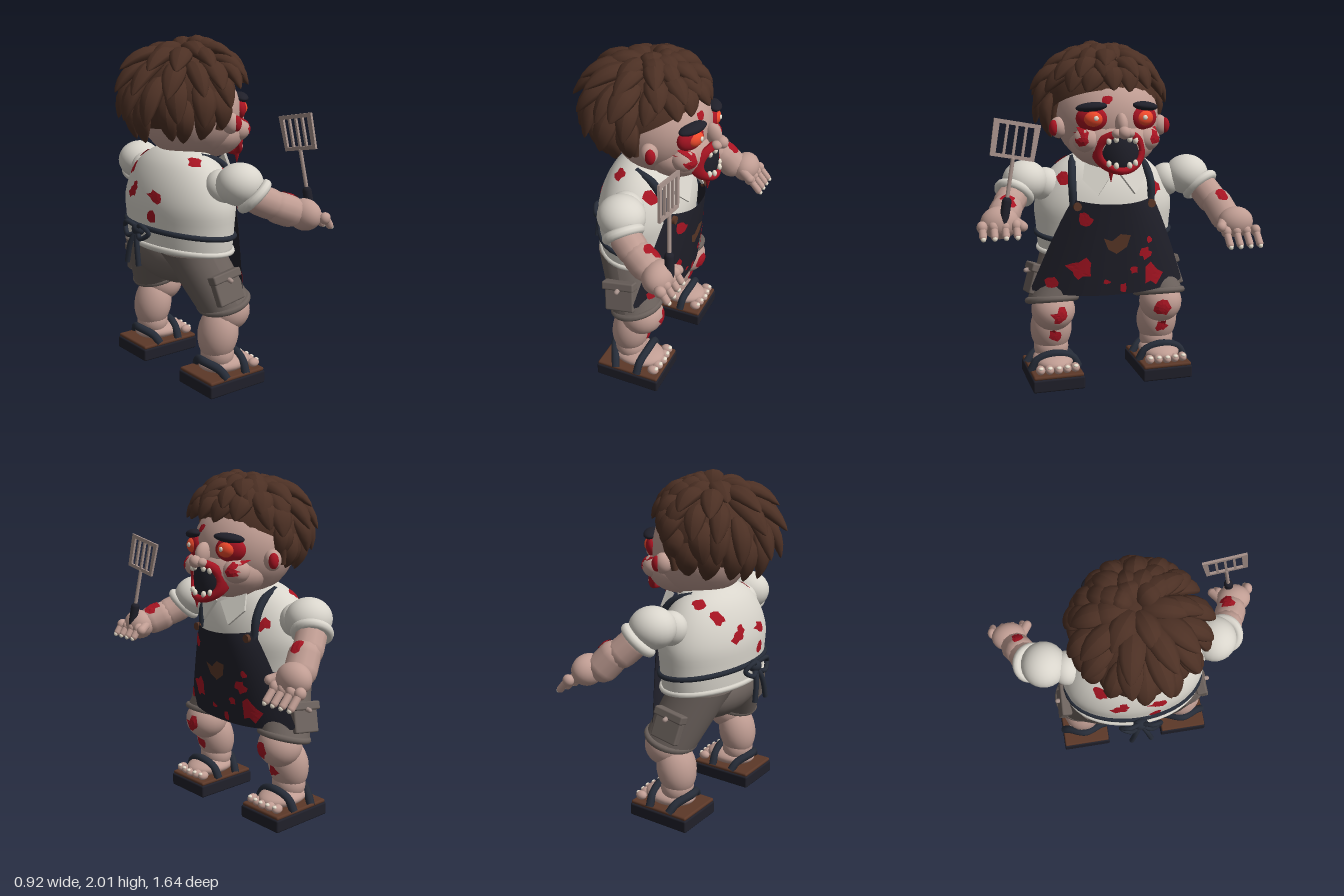
import * as THREE from 'three';
import { RoundedBoxGeometry } from 'three/addons/geometries/RoundedBoxGeometry.js';

const C = { skin: 0xc09d93, hair: 0x4c3024, shirt: 0xd9d5cc, shorts: 0x6c625d, dark: 0x20202a, red: 0xa81422,
  glow: 0xf04a2c, tooth: 0xe6ddcc, sole: 0x5c3828, metal: 0xa8938c, strap: 0x262c38 };
const mats = {};
const mat = c => mats[c] ??= new THREE.MeshStandardMaterial({ color: C[c], side: THREE.DoubleSide, roughness: 0.8 });
const V = (x, y, z) => new THREE.Vector3(x, y, z);
const UP = V(0, 1, 0);
const { lerp, smoothstep } = THREE.MathUtils;
const vec2s = list => list.map(q => new THREE.Vector2(...q));
let seed = 7;
const rnd = () => (seed = (seed * 16807) % 2147483647) / 2147483647;

function add(parent, name, geo, color, p = [0, 0, 0], r = [0, 0, 0]) {
  const m = new THREE.Mesh(geo, mat(color));
  m.name = name;
  m.position.set(...p);
  m.rotation.set(...r);
  parent.add(m);
  return m;
}
const blob = (parent, name, color, p, s, r) => add(parent, name, new THREE.SphereGeometry(1, 24, 16).scale(...s), color, p, r);
const box = (parent, name, color, p, s, r) => add(parent, name, new RoundedBoxGeometry(...s, 2, .01), color, p, r);
const tube = (parent, name, color, pts, rad, closed = false) => add(parent, name,
  new THREE.TubeGeometry(new THREE.CatmullRomCurve3(pts.map(p => V(...p)), closed), 40, rad, 8, closed), color);
// rounded segment between two points
function limb(parent, name, color, a, b, rad) {
  const A = V(...a), B = V(...b), d = B.clone().sub(A);
  const m = add(parent, name, new THREE.CapsuleGeometry(rad, d.length(), 5, 12), color, A.clone().add(B).multiplyScalar(0.5).toArray());
  m.quaternion.setFromUnitVectors(UP, d.normalize());
  return m;
}
function warp(geo, rule) {
  const p = geo.attributes.position, v = V(0, 0, 0);
  for (let i = 0; i < p.count; i++) { rule(v.fromBufferAttribute(p, i)); p.setXYZ(i, v.x, v.y, v.z); }
  geo.computeVertexNormals();
  return geo;
}

// leaf-shaped lock of hair: unit length, bowed outward
const lockGeo = warp(new THREE.LatheGeometry(vec2s([[0, 0], [.3, .08], [.46, .26], [.5, .45], [.46, .62], [.34, .79], [.15, .94], [0, 1]]), 10),
  v => { v.z = v.z * 0.6 + 1.1 * v.y * (1 - v.y); });

function buildHair(parent) {
  const hair = new THREE.Group();
  hair.name = 'hair';
  parent.add(hair);
  const c = V(-.04, 1.67, .015);
  const at = (t, f, k) => V(.3 * k * Math.sin(t) * Math.cos(f), .28 * k * Math.cos(t), .31 * k * Math.sin(t) * Math.sin(f)).add(c);
  add(hair, 'hairCap', new THREE.SphereGeometry(1, 32, 16, 0, 7, 0, 1.72).scale(.29, .28, .315), 'hair', [-.03, 1.66, .01], [0, 0, .45]);
  // rows from crown to nape: count, tip angle, tip reach at the back and at the front
  [[7, .36, 1.2, 1.1], [10, .5, 1.4, 1.18], [13, .66, 1.42, 1.22], [15, .83, 1.36, 1.22], [17, 1, 1.26, 1.2]].forEach(([n, a, kBack, kFront], row) => {
    for (let i = 0; i < n; i++) {
      const f = (i + row * 0.5 + (rnd() - .5) * .4) / n * Math.PI * 2, back = (1 - Math.cos(f)) / 2;
      const end = 1.36 + .92 * smoothstep(back, .18, .62);
      const t1 = end * a + (rnd() - .5) * .08, t0 = Math.max(.06, t1 - (.58 + back * .28));
      const tip = lerp(kFront, kBack, back) + (rnd() - .5) * .08 - .12 * Math.max(0, -Math.sin(f));
      const base = at(t0, f, .92), d = at(t1, f + (rnd() - .4) * .3, tip).sub(base), len = d.length();
      const dir = d.normalize(), out = at(t0 + .25, f, 1).sub(c);
      const side = dir.clone().cross(out).normalize(), nor = side.clone().cross(dir);
      const m = add(hair, 'hairLock', lockGeo, 'hair', base.toArray());
      m.quaternion.setFromRotationMatrix(new THREE.Matrix4().makeBasis(side, dir, nor));
      m.scale.set(.115 + rnd() * .03, len * 1.03, .13);
    }
  });
}

function buildHead(body) {
  const head = new THREE.Group();
  head.name = 'head';
  body.add(head);
  blob(head, 'skull', 'skin', [.02, 1.58, 0], [.29, .28, .3]);
  blob(head, 'jaw', 'skin', [.14, 1.45, 0], [.2, .155, .25]);
  for (const s of [1, -1]) {
    blob(head, 'ear', 'skin', [.08, 1.53, s * .3], [.05, .06, .05]);
    blob(head, 'earInner', 'red', [.1, 1.53, s * .33], [.03, .045, .027]);
    blob(head, 'cheek', 'skin', [.23, 1.47, s * .17], [.08, .07, .08]);
    blob(head, 'eyeSocket', 'red', [.255, 1.59, s * .15], [.045, .07, .09], [0, -s * .45, 0]);
    blob(head, 'eye', 'glow', [.28, 1.59, s * .145], [.038, .045, .056], [0, -s * .3, 0]);
    blob(head, 'pupil', 'tooth', [.318, 1.595, s * .14], [.008, .014, .014]);
    blob(head, 'eyebrow', 'dark', [.27, 1.655, s * .155], [.045, .026, .09], [s * .12, -s * .5, 0]);
    blob(head, 'nostril', 'skin', [.365, 1.515, s * .035], [.03, .026, .03]);
    tube(head, 'sideburn', 'hair', [[.02, 1.68, s * .3], [.01, 1.6, s * .31], [0, 1.5, s * .295]], .02);
  }
  blob(head, 'noseBridge', 'skin', [.33, 1.56, 0], [.05, .065, .035], [0, 0, .3]);
  blob(head, 'noseTip', 'skin', [.385, 1.52, 0], [.035, .035, .035]);
  // open mouth wrapped around the jaw
  const wrap = v => { v.x -= v.z * v.z * 3.5; };
  add(head, 'lips', warp(new THREE.TorusGeometry(.13, .026, 10, 40).rotateY(Math.PI / 2).scale(1, .8, 1), wrap), 'red', [.35, 1.41, 0]);
  add(head, 'mouthHole', warp(new THREE.SphereGeometry(1, 24, 16).scale(.02, .095, .122), wrap), 'dark', [.342, 1.41, 0]);
  for (const up of [1, -1]) for (const i of [-2, -1, 1, 2]) {
    const z = i * .038;
    blob(head, 'tooth', 'tooth', [.365 - z * z * 3.5, 1.41 + up * (.083 - Math.abs(i) * .01), z], [.014, .02, .015]);
  }
  add(head, 'bloodDrip', new THREE.ConeGeometry(.02, .08, 8), 'red', [.33, 1.28, .06], [Math.PI, 0, 0]);
  buildHair(head);
}

function buildTorso(body) {
  const prof = [[.3, .78], [.385, .8], [.4, .84], [.41, .95], [.418, 1.06], [.39, 1.16], [.335, 1.25], [.26, 1.32], [.15, 1.37], [0, 1.39]];
  add(body, 'shirt', new THREE.LatheGeometry(new THREE.SplineCurve(vec2s(prof)).getPoints(30), 40).scale(.63, 1, 1), 'shirt', [-.06, 0, 0]);
  add(body, 'shirtHem', new THREE.TorusGeometry(.395, .016, 8, 40).rotateX(Math.PI / 2).scale(.65, 1, 1), 'shirt', [-.06, .805, 0], [0, 0, -.08]);
  for (const s of [1, -1]) { // collar flaps
    const flap = new THREE.Shape(vec2s([[0, 0], [.16, .06], [.17, -.04], [.08, -.13]]));
    const g = new THREE.ExtrudeGeometry(flap, { depth: .015, bevelEnabled: false }).rotateY(-Math.PI / 2).scale(1, 1, s);
    add(body, 'collarFlap', g, 'shirt', [.225, 1.28, s * .02], [0, -s * .3, .35]);
  }
  // apron: flared, curved sheet leaning out at the chest
  const apron = warp(new THREE.PlaneGeometry(2, 1, 24, 16), v => {
    const u = v.x, t = v.y + .5, w = .235 + .235 * Math.pow(1 - t, .85);
    v.set(.195 + t * .075 - lerp(.15, .11, t) * Math.abs(u) ** 2.6, .555 + t * .57 + .025 * (1 - t) * u * u - .02 * t * (1 - u * u), -u * w);
  });
  add(body, 'apron', apron, 'dark');
  const ring = Array.from({ length: 24 }, (_, i) => {
    const a = i / 24 * Math.PI * 2;
    return [-.06 + Math.cos(a) * .26, .9 - .03 * Math.cos(a), Math.sin(a) * .408];
  });
  tube(body, 'apronTie', 'strap', ring, .016, true);
  blob(body, 'tieKnot', 'strap', [-.35, .92, 0], [.035, .035, .045]);
  for (const s of [1, -1]) {
    tube(body, 'tieTail', 'strap', [[-.35, .92, 0], [-.38, .85, s * .03], [-.39, .72, s * .06]], .016);
    tube(body, 'tieBow', 'strap', [[-.35, .92, 0], [-.38, .96, s * .07], [-.36, .92, s * .12], [-.38, .88, s * .06]], .014, true);
    tube(body, 'neckStrap', 'strap', [[.15, 1.08, s * .23], [.14, 1.2, s * .235], [.07, 1.295, s * .22], [-.05, 1.335, s * .19]], .024);
    add(body, 'strapButton', new THREE.CylinderGeometry(.024, .024, .02, 12).rotateZ(Math.PI / 2), 'sole', [.2, 1.09, s * .22]);
  }
  // scorched patch in the middle of the apron
  const patch = new THREE.Shape(vec2s([[-.08, .04], [-.03, .02], [.02, .06], [.08, .05], [.06, -.02], [0, -.06], [-.05, -.03]]));
  add(body, 'apronPatch', new THREE.ShapeGeometry(patch).rotateY(Math.PI / 2), 'sole', [.246, .87, 0], [0, 0, -.13]);
}

function buildLeg(body, s) {
  const leg = new THREE.Group();
  leg.name = s > 0 ? 'rightLeg' : 'leftLeg';
  body.add(leg);
  const z = s * .335;
  add(leg, 'shortsLeg', warp(new THREE.CylinderGeometry(1, 1, 1, 28, 6, true), v => {
    const t = v.y + .5, r = lerp(.148, .19, t);
    v.set(lerp(.01, -.1, t) + v.x * r, lerp(.5, .8, t) + v.x * .045 * (1 - t), s * lerp(.335, .18, t) + v.z * r);
  }), 'shorts');
  add(leg, 'shortsHem', new THREE.TorusGeometry(.142, .02, 8, 28).rotateX(Math.PI / 2), 'shorts', [.012, .505, z], [0, 0, .28]);
  box(leg, 'pocket', 'shorts', [-.045, .62, s * .437], [.18, .17, .05], [-s * .3, 0, .15]);
  box(leg, 'pocketFlap', 'shorts', [-.055, .69, s * .428], [.2, .05, .065], [-s * .3, 0, .15]);
  limb(leg, 'pocketButton', 'metal', [-.05, .68, s * .44], [-.05, .675, s * .478], .014);
  blob(leg, 'knee', 'skin', [.045, .45, z], [.13, .125, .13]);
  blob(leg, 'calf', 'skin', [-.025, .32, z], [.115, .17, .125], [0, 0, -.2]);
  blob(leg, 'ankle', 'skin', [-.03, .2, z], [.095, .1, .105]);
  blob(leg, 'foot', 'skin', [.02, .135, z], [.165, .055, .12]);
  for (let i = -2; i <= 2; i++) {
    const x = .175 - Math.abs(i) * .006;
    blob(leg, 'toe', 'skin', [x, .122, z + i * .052], [.035, .027, .027]);
    blob(leg, 'toenail', 'tooth', [x + .02, .137, z + i * .052], [.014, .01, .015]);
  }
  box(leg, 'sandalSole', 'dark', [.008, .038, z], [.405, .076, .31]);
  box(leg, 'sandalBed', 'sole', [.008, .085, z], [.395, .022, .3]);
  const strap = (x0, x1, h) => tube(leg, 'sandalStrap', 'strap',
    [[x0, .09, z - .145], [lerp(x0, x1, .3), h - .035, z - .105], [x1, h, z], [lerp(x0, x1, .3), h - .035, z + .105], [x0, .09, z + .145]], .025);
  strap(.07, .09, .19);
  strap(-.07, -.135, .17);
}

function buildArm(root, s) {
  const arm = new THREE.Group();
  arm.name = s > 0 ? 'rightArm' : 'leftArm';
  root.add(arm);
  const drop = s > 0 ? 0 : -.07;
  blob(arm, 'sleeve', 'shirt', [0, 1.22, s * .495], [.135, .12, .13]);
  blob(arm, 'shoulder', 'shirt', [-.03, 1.19, s * .37], [.1, .1, .09]);
  const cuff = add(arm, 'cuff', new THREE.TorusGeometry(.092, .028, 10, 28), 'shirt', [.045, 1.16, s * .565]);
  cuff.quaternion.setFromUnitVectors(V(0, 0, 1), V(.55, -.7, s * .45).normalize());
  limb(arm, 'elbow', 'skin', [.07, 1.14, s * .58], [.12, 1.115 + drop * .4, s * .61], .088);
  limb(arm, 'forearm', 'skin', [.17, 1.09 + drop * .4, s * .63], [.22, 1.07 + drop, s * .655], .09);
  blob(arm, 'hand', 'skin', [.305, 1.045 + drop, s * .69], [.085, .09, .105]);
  for (let i = 0; i < 4; i++) { // knuckle, finger, nail; the right hand curls round the handle
    const z = s * (.61 + i * .061), y = 1.02 + drop * 1.5, end = s > 0 ? [.4, y - .03, z] : [.425, y - .05, z];
    blob(arm, 'knuckle', 'skin', [.362, y + .015, z], [.034, .034, .029]);
    limb(arm, 'finger', 'skin', [.38, y, z], end, .021);
    blob(arm, 'fingernail', 'tooth', [end[0] + .014, end[1] - .01, z], [.012, .014, .014]);
  }
  limb(arm, 'thumb', 'skin', [.31, 1.05 + drop, s * .61], [.37, 1.03 + drop, s * .575], .028);
}

function buildSpatula(root) {
  const sp = new THREE.Group();
  sp.name = 'spatula';
  sp.position.set(.365, 1.04, .68);
  sp.rotation.set(-.18, 0, .09);
  root.add(sp);
  limb(sp, 'handle', 'dark', [0, .02, 0], [0, .13, 0], .026);
  limb(sp, 'shaft', 'metal', [0, .14, 0], [0, .36, 0], .011);
  const blade = new THREE.Shape(vec2s([[-.125, 0], [.115, 0], [.125, .2], [-.13, .2]]));
  for (let i = 0; i < 4; i++) {
    const x = -.097 + i * .051;
    blade.holes.push(new THREE.Path(vec2s([[x, .02], [x, .178], [x + .037, .178], [x + .037, .02]])));
  }
  add(sp, 'blade', new THREE.ExtrudeGeometry(blade, { depth: .014, bevelEnabled: false }).rotateY(Math.PI / 2), 'metal', [-.007, .36, 0]);
}

// ragged stain draped over the surface found along direction d
function stain(root, targets, p, d, rad) {
  const n = V(...d).normalize(), o = V(...p).addScaledVector(n, 1);
  const a = UP.clone().cross(n).normalize(), b = n.clone().cross(a);
  const hit = (r, t) => {
    const q = o.clone().addScaledVector(a, r * Math.cos(t)).addScaledVector(b, r * Math.sin(t));
    return new THREE.Raycaster(q, n.clone().negate()).intersectObjects(targets, false)[0]?.point.addScaledVector(n, .007);
  };
  const mid = hit(0, 0), pos = [], N = 11;
  if (!mid) return;
  const rs = Array.from({ length: N }, () => rad * (.55 + rnd() * .65));
  const [u, w] = [.5, 1].map(k => rs.map((r, i) => {
    const h = hit(r * k, i / N * Math.PI * 2);
    return h && h.distanceTo(mid) < rad * 2.2 ? h : mid;
  }));
  for (let i = 0; i < N; i++) {
    const j = (i + 1) % N;
    for (const v of [mid, u[i], u[j], u[i], w[i], w[j], u[i], w[j], u[j]]) pos.push(v.x, v.y, v.z);
  }
  const g = new THREE.BufferGeometry().setAttribute('position', new THREE.Float32BufferAttribute(pos, 3));
  g.computeVertexNormals();
  add(root, 'bloodStain', g, 'red');
}

export function createModel() {
  seed = 7;
  const root = new THREE.Group(), body = new THREE.Group();
  root.name = 'zombieCook';
  body.name = 'body';
  body.position.z = .012;
  root.add(body);
  buildTorso(body);
  blob(body, 'shortsSeat', 'shorts', [-.09, .74, 0], [.2, .17, .34]);
  for (const s of [1, -1]) { buildLeg(body, s); buildArm(root, s); }
  buildHead(body);
  buildSpatula(root);
  root.updateMatrixWorld(true);
  const targets = [];
  root.traverse(m => { if (/^(shirt|apron|knee|calf|skull|jaw|cheek|elbow|forearm|hand|sleeve)$/.test(m.name)) targets.push(m); });
  for (const [y, z, r] of [[.72, .22, .075], [.66, -.22, .07], [1.02, .19, .04], [.6, -.04, .03], [.8, -.17, .04], [.7, -.1, .025],
    [.64, .06, .02], [.88, -.19, .025], [.64, .37, .035], [1.23, .28, .045], [1.17, -.26, .04], [.44, .33, .055], [.3, .35, .04],
    [.44, -.3, .05], [.3, -.32, .04], [1.49, .23, .055], [1.49, -.21, .055], [1.69, .08, .03]]) stain(root, targets, [0, y, z], [1, 0, 0], r);
  for (const [y, z, r] of [[1, .1, .045], [1.15, -.08, .04], [1.24, -.2, .04]]) stain(root, targets, [0, y, z], [-1, 0, 0], r);
  for (const s of [1, -1]) {
    stain(root, targets, [-.24, 1.12, 0], [-.6, 0, s], .035);
    stain(root, targets, [-.12, 1.3, s * .22], [-.2, .7, s], .04);
    stain(root, targets, [.2, 1.07, s * .63], [.5, 1, 0], .05);
  }
  return root;
}
